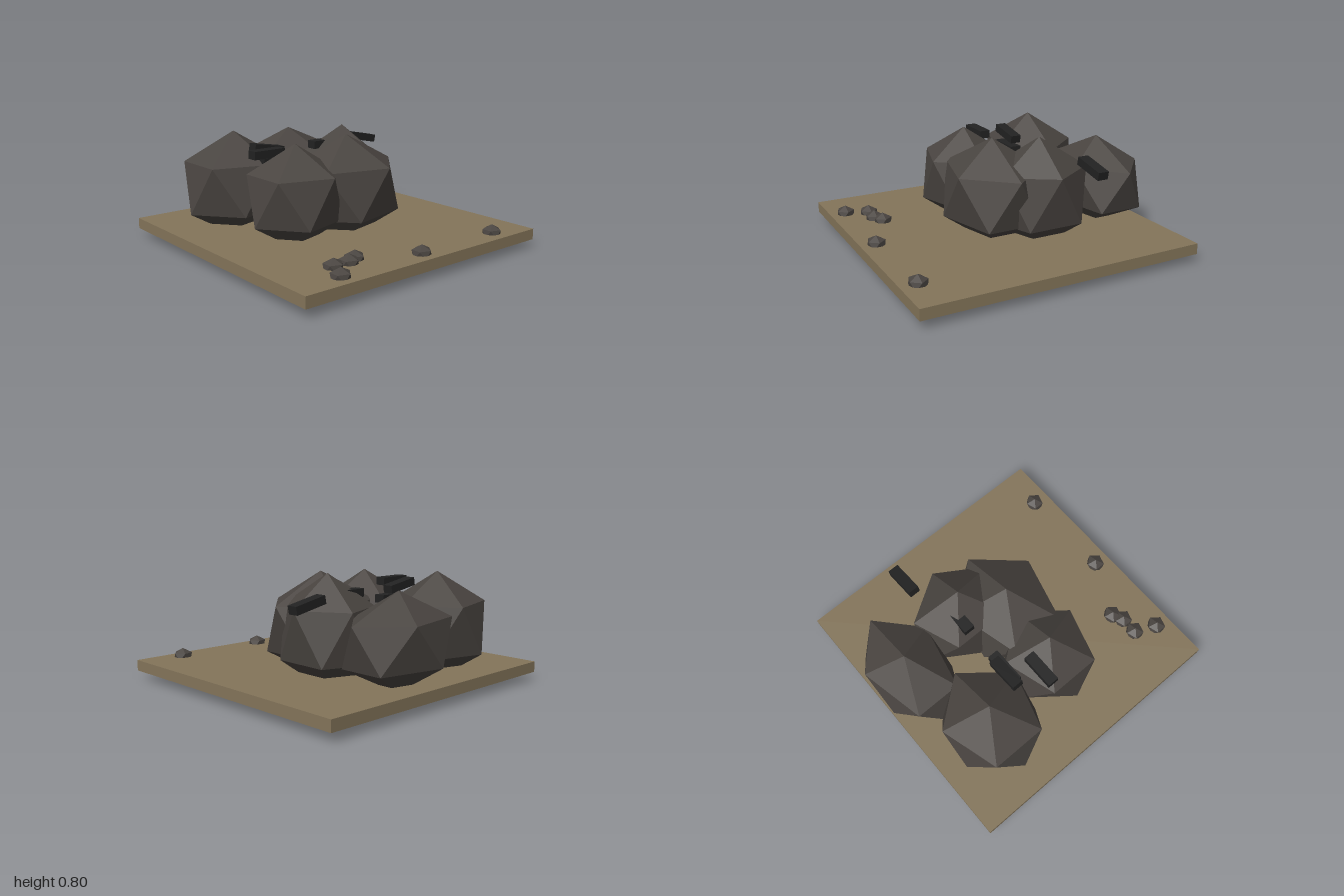
import * as THREE from 'three';

export function createModel() {
  const model = new THREE.Group();
  const sand = new THREE.MeshStandardMaterial({ name: 'sand', color: 0x84755a });
  const rock = new THREE.MeshStandardMaterial({ name: 'rock', color: 0x4a4541 });
  const charcoal = new THREE.MeshStandardMaterial({ name: 'charcoal', color: 0x222222 });

  const add = (name, geometry, material, x, y, z) => {
    const mesh = new THREE.Mesh(geometry, material);
    mesh.name = name;
    mesh.position.set(x, y, z);
    model.add(mesh);
    return mesh;
  };

  // Icosahedron standing on a corner, upper ring pointing to +x
  const stone = (rx, ry, rz) => new THREE.IcosahedronGeometry(1, 0)
    .rotateX(-Math.atan((1 + Math.sqrt(5)) / 2))
    .rotateY(Math.PI / 2)
    .scale(rx, ry, rz);

  // Ground slab
  add('ground', new THREE.BoxGeometry(2, 0.076, 2), sand, 0, 0.102, 0);

  // Large boulders: x, z, radii
  [
    [-0.46, -0.535, 0.407, 0.386, 0.365],
    [0.168, -0.735, 0.461, 0.325, 0.306],
    [0.08, 0.062, 0.459, 0.382, 0.37],
    [0.265, -0.2, 0.335, 0.4, 0.383],
    [-0.36, 0.062, 0.371, 0.363, 0.343],
  ].forEach(([x, z, rx, ry, rz], i) =>
    add('boulder' + (i + 1), stone(rx, ry, rz), rock, x, 0.403, z));

  // Pebbles along the front
  [
    [-0.66, 0.89], [-0.59, 0.737], [-0.467, 0.737],
    [-0.39, 0.7], [0.003, 0.89], [0.695, 0.88],
  ].forEach(([x, z], i) =>
    add('pebble' + (i + 1), stone(0.074, 0.06, 0.07), rock, x, 0.142, z));

  // Charred bars resting on the boulders: centre, tilt
  [
    [0.62, 0.65, -0.395, -0.2],
    [-0.34, 0.68, -0.295, -0.17],
    [-0.47, 0.69, -0.107, 0],
    [-0.288, 0.595, -0.265, 0],
    [0.167, 0.665, -0.285, 0],
  ].forEach(([x, y, z, tilt], i) => {
    const bar = add('charredBar' + (i + 1), new THREE.BoxGeometry(0.243, 0.056, 0.077), charcoal, x, y, z);
    bar.rotation.z = tilt;
  });

  return model;
}
